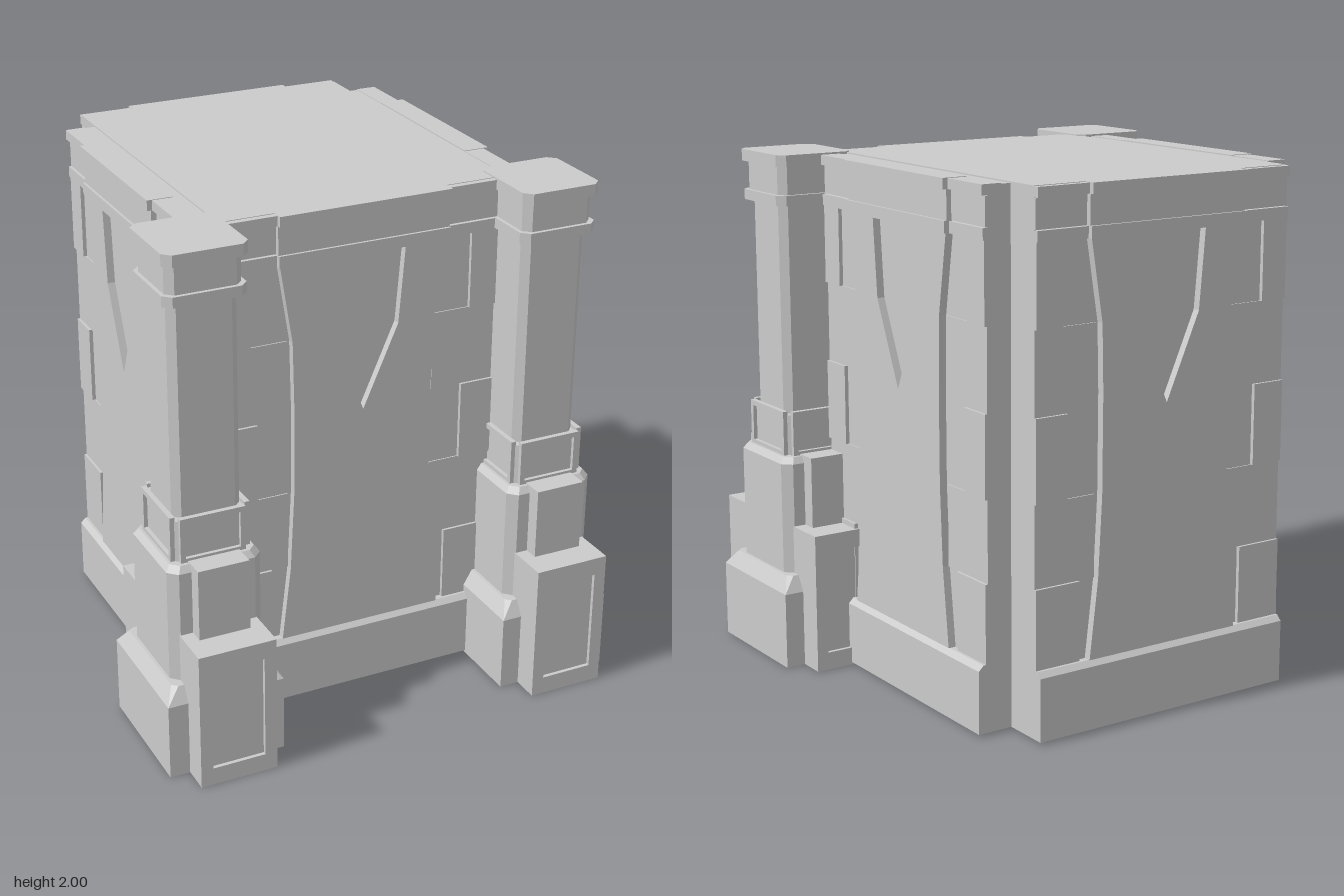
import * as THREE from 'three';

const mat = new THREE.MeshStandardMaterial({ color: 0xcccccc, flatShading: true });

function add(parent, name, geo, x = 0, y = 0, z = 0) {
  const m = new THREE.Mesh(geo, mat);
  m.name = name;
  m.position.set(x, y, z);
  parent.add(m);
  return m;
}

// Box given by its limits
function block(parent, name, x0, x1, y0, y1, z0, z1) {
  return add(parent, name, new THREE.BoxGeometry(x1 - x0, y1 - y0, z1 - z0),
    (x0 + x1) / 2, (y0 + y1) / 2, (z0 + z1) / 2);
}

// Stack of rectangles with cut corners; each ring is [y, halfX, halfZ, cornerCut]
function loft(rings) {
  const loops = rings.map(([y, a, b, c]) => [
    [a, b - c], [a - c, b], [c - a, b], [-a, b - c],
    [-a, c - b], [c - a, -b], [a - c, -b], [a, c - b],
  ].map(([x, z]) => [x, y, z]));
  const pos = [];
  const tri = (...p) => p.forEach((v) => pos.push(...v));
  for (let r = 0; r < loops.length - 1; r++) {
    const lo = loops[r], hi = loops[r + 1];
    for (let i = 0; i < 8; i++) {
      const j = (i + 1) % 8;
      tri(lo[i], hi[i], hi[j]);
      tri(lo[i], hi[j], lo[j]);
    }
  }
  const bot = loops[0], top = loops[loops.length - 1];
  for (let i = 1; i < 7; i++) {
    tri(top[0], top[i + 1], top[i]);
    tri(bot[0], bot[i], bot[i + 1]);
  }
  const g = new THREE.BufferGeometry();
  g.setAttribute('position', new THREE.Float32BufferAttribute(pos, 3));
  g.computeVertexNormals();
  return g;
}

const toShape = (pts) => new THREE.Shape(pts.map(([x, y]) => new THREE.Vector2(x, y)));
const rect = (a, y0, y1) => [[-a, y0], [a, y0], [a, y1], [-a, y1]];

// Plate with an opening, extruded along +z
function plate(outer, hole, depth) {
  const s = toShape(outer);
  s.holes.push(toShape(hole));
  return new THREE.ExtrudeGeometry(s, { depth, bevelEnabled: false });
}

// One decorated wall; its outermost plane is at local z = d
function wallFace(d) {
  const g = new THREE.Group();
  g.name = 'wallFace';
  // Flared centre panel with a sunken pennant
  const half = [[0.335, 0.27], [0.3, 0.57], [0.285, 0.88], [0.284, 1.25], [0.29, 1.5], [0.34, 1.81]];
  const outline = [...half, ...half.map(([x, y]) => [-x, y]).reverse()];
  const pennant = [[0, 1.18], [0.14, 1.5], [0.165, 1.8], [-0.165, 1.8], [-0.14, 1.5]];
  add(g, 'flaredPanel', plate(outline, pennant, 0.045), 0, 0, d - 0.06);
  // Stones at both sides
  for (const s of [-1, 1]) {
    for (const [inner, y0, y1, out] of [
      [0.45, 1.5, 1.8, 0.03], [0.3, 1.19, 1.5, 0.04], [0.425, 0.88, 1.19, 0.03],
      [0.3, 0.57, 0.88, 0.04], [0.37, 0.27, 0.57, 0.03]]) {
      const xs = [s * inner, s * 0.56].sort((a, b) => a - b);
      block(g, 'stone', xs[0], xs[1], y0, y1, d - 0.07, d - out);
    }
  }
  // Cornice, with a projecting centre
  for (const [y0, y1, out] of [[1.8, 1.845, 0.005], [1.845, 1.955, 0.015], [1.955, 1.995, 0]]) {
    block(g, 'corniceCentre', -0.345, 0.345, y0, y1, d - 0.1, d - out);
    block(g, 'corniceSide', -0.56, 0.56, y0, y1 - 0.002, d - 0.1, d - out - 0.02);
  }
  return g;
}

// Panel frames on the four sides of a tier
function frames(parent, name, hx, hz, cut, y0, y1, rim, depth) {
  for (let k = 0; k < 4; k++) {
    const w = (k % 2 ? hz : hx) - cut, d = k % 2 ? hx : hz;
    const h = new THREE.Group();
    h.name = name;
    h.rotation.y = k * Math.PI / 2;
    add(h, name, plate(rect(w, y0, y1), rect(w - rim, y0 + rim, y1 - rim), depth), 0, 0, d - depth);
    parent.add(h);
  }
}

function pillar() {
  const g = new THREE.Group();
  add(g, 'plinth', loft([[0, 0.23, 0.26, 0.0], [0.3, 0.23, 0.26, 0.0], [0.36, 0.195, 0.225, 0.02]]));
  add(g, 'lowerTier', loft([[0.35, 0.183, 0.196, 0.035], [0.8, 0.183, 0.196, 0.035], [0.825, 0.165, 0.178, 0.03]]));
  add(g, 'middleTier', loft([[0.82, 0.14, 0.15, 0.015], [0.985, 0.14, 0.15, 0.015]]));
  frames(g, 'middleTierFrame', 0.155, 0.165, 0.028, 0.82, 1.0, 0.02, 0.02);
  add(g, 'shaft', loft([[0.95, 0.132, 0.125, 0.028], [1.82, 0.132, 0.125, 0.028]]));
  add(g, 'collar', loft([[1.805, 0.158, 0.16, 0.03], [1.845, 0.158, 0.16, 0.03]]));
  add(g, 'neck', loft([[1.84, 0.143, 0.145, 0.028], [1.96, 0.143, 0.145, 0.028]]));
  add(g, 'capital', loft([[1.955, 0.16, 0.17, 0.03], [2, 0.16, 0.17, 0.03]]));
  // Stepped buttresses, front and back
  block(g, 'upperButtress', -0.1, 0.1, 0.3, 0.83, -0.255, 0.255);
  block(g, 'lowerButtress', -0.152, 0.152, 0, 0.55, -0.353, 0.353);
  for (const r of [0, Math.PI]) {
    const f = add(g, 'buttressPanelFrame',
      plate(rect(0.152, 0, 0.55), rect(0.104, 0.07, 0.48), 0.015), 0, 0, r ? -0.353 : 0.353);
    f.rotation.y = r;
  }
  return g;
}

export function createModel() {
  const model = new THREE.Group();
  model.name = 'pedestal';

  // Cross-shaped core
  block(model, 'coreAcross', -0.655, 0.655, 0.02, 1.99, -0.735, 0.385);
  block(model, 'coreDeep', -0.56, 0.56, 0.02, 1.995, -0.875, 0.485);

  // Base course with a bevelled top edge
  add(model, 'baseAcross', loft([[0.01, 0.7, 0.56, 0], [0.25, 0.7, 0.56, 0], [0.27, 0.68, 0.56, 0]]), 0, 0, -0.175);
  add(model, 'baseDeep', loft([[0.01, 0.56, 0.725, 0], [0.25, 0.56, 0.725, 0], [0.27, 0.56, 0.705, 0]]), 0, 0, -0.195);
  block(model, 'undersidePlate', -0.5, 0.5, 0.004, 0.02, -0.675, 0.325);

  // Four walls
  for (let k = 0; k < 4; k++) {
    const f = wallFace(k % 2 ? 0.7 : 0.725);
    f.rotation.y = k * Math.PI / 2;
    f.position.z = k % 2 ? -0.175 : -0.195;
    model.add(f);
  }

  // Front corner pillars
  for (const s of [-1, 1]) {
    const p = pillar();
    p.name = s > 0 ? 'leftPillar' : 'rightPillar';
    p.position.set(s * 0.7, 0, 0.552);
    model.add(p);
  }
  return model;
}
